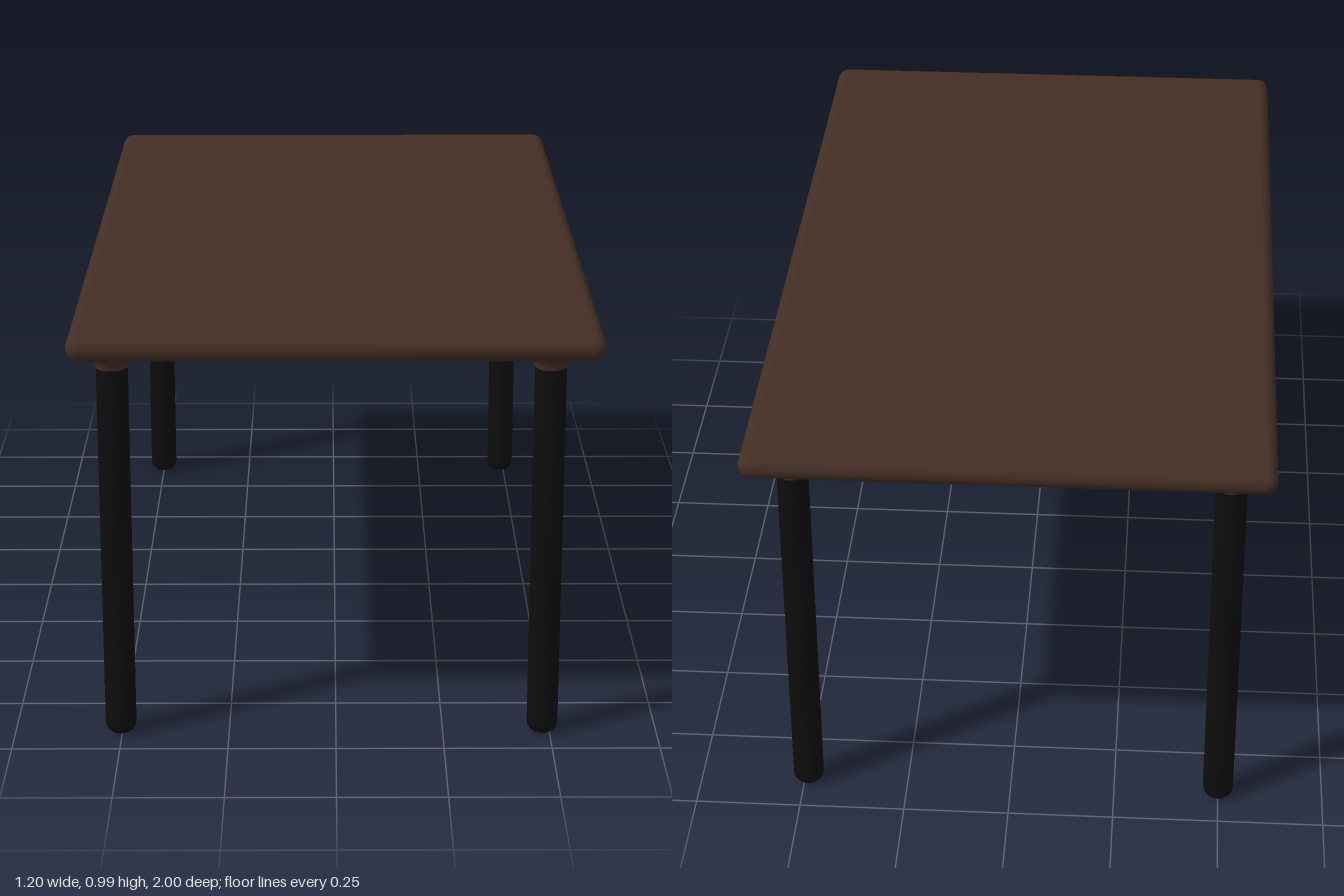
import * as THREE from 'three';
import { RoundedBoxGeometry } from 'three/addons/geometries/RoundedBoxGeometry.js';

const TOP_Y = 0.99, THICK = 0.058, UNDER_Y = TOP_Y - THICK;
const LEG_R = 0.036, FOOT_R = 0.027, FLARE = 0.035;

// Lathe points along a quarter circle, from angle a0 to a1
function arc(cx, cy, r, a0, a1, steps = 8) {
  return Array.from({ length: steps + 1 }, (_, i) => {
    const a = a0 + (a1 - a0) * i / steps;
    return new THREE.Vector2(cx + r * Math.cos(a), cy + r * Math.sin(a));
  });
}

export function createModel() {
  const wood = new THREE.MeshStandardMaterial({ color: 0x432e24 });
  wood.name = 'darkWood';
  const black = new THREE.MeshStandardMaterial({ color: 0x0d0d0d });
  black.name = 'blackLeg';

  const table = new THREE.Group();
  table.name = 'table';

  // Slab with fully rounded edges
  const top = new THREE.Mesh(new RoundedBoxGeometry(1.2, THICK, 2, 6, THICK / 2), wood);
  top.name = 'tableTop';
  top.position.y = TOP_Y - THICK / 2;
  table.add(top);

  // Round leg with a softened foot, running up into the collar
  const legGeometry = new THREE.LatheGeometry([
    new THREE.Vector2(0, 0),
    ...arc(LEG_R - FOOT_R, FOOT_R, FOOT_R, -Math.PI / 2, 0),
    new THREE.Vector2(LEG_R, UNDER_Y - FLARE + 0.003),
  ], 32);

  // Concave flare blending the leg into the underside
  const collarGeometry = new THREE.LatheGeometry(
    arc(LEG_R + FLARE, UNDER_Y - FLARE, FLARE, Math.PI, Math.PI / 2), 32);

  const corners = [
    ['frontLeft', 0.483, 0.902], ['frontRight', -0.503, 0.902],
    ['backLeft', 0.49, -0.899], ['backRight', -0.5, -0.899],
  ];
  for (const [name, x, z] of corners) {
    const group = new THREE.Group();
    group.name = name + 'Leg';
    const leg = new THREE.Mesh(legGeometry, black);
    leg.name = 'leg';
    const collar = new THREE.Mesh(collarGeometry, wood);
    collar.name = 'collar';
    group.add(leg, collar);
    group.position.set(x, 0, z);
    table.add(group);
  }
  return table;
}
